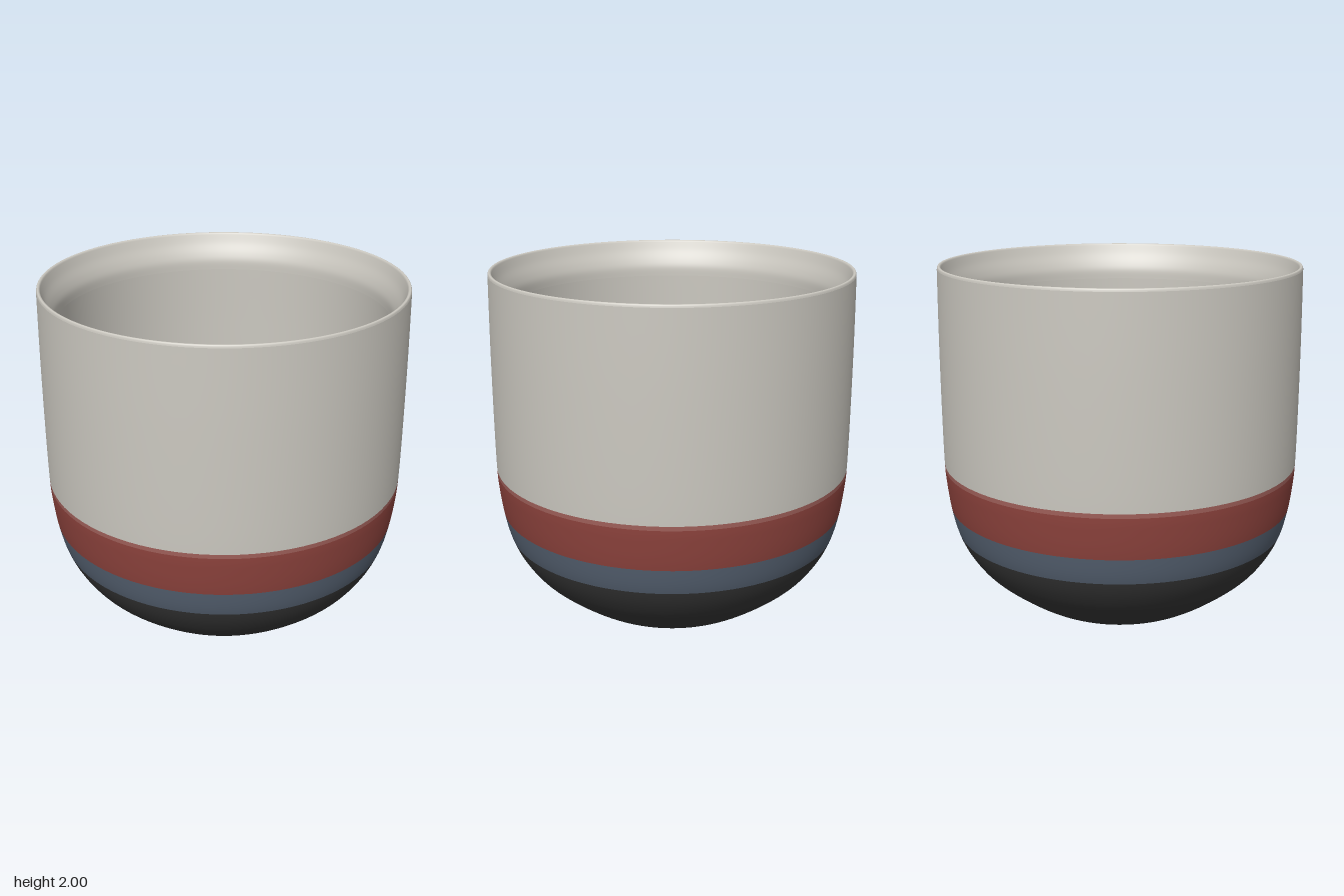
import * as THREE from 'three';

const SEGMENTS = 96;
const material = (name, color) => {
  const m = new THREE.MeshStandardMaterial({ color });
  m.name = name;
  return m;
};
const curvePoints = (pairs, count) =>
  new THREE.SplineCurve(pairs.map(([r, y]) => new THREE.Vector2(r, y))).getPoints(count);

// Part of a rising profile between two heights, with exact ends
function slice(points, low, high) {
  const at = (y) => {
    const i = Math.max(1, points.findIndex((p) => p.y >= y));
    const a = points[i - 1], b = points[i];
    return a.clone().lerp(b, (y - a.y) / (b.y - a.y));
  };
  const inside = points.filter((p) => p.y > low + 1e-3 && p.y < high - 1e-3);
  const start = low === 0 ? [new THREE.Vector2(0, 0), ...points.filter((p) => p.y > 0 && p.y <= 1e-3)] : [at(low)];
  return [...start, ...inside, at(high)];
}

export function createModel() {
  const cup = new THREE.Group();
  cup.name = 'cup';

  const stone = material('stone glaze', 0xcbc8c0);
  const red = material('brick red', 0x8e433d);
  const paleRed = material('pale brick red', 0xa0605a);
  const blue = material('slate blue', 0x566272);
  const charcoal = material('charcoal', 0x363636);

  const addLathe = (name, points, mat) => {
    const mesh = new THREE.Mesh(new THREE.LatheGeometry(points, SEGMENTS), mat);
    mesh.name = name;
    cup.add(mesh);
  };

  // Outer wall, cut into coloured bands
  const outer = curvePoints([
    [0, 0], [0.18, 0.003], [0.34, 0.02], [0.48, 0.068], [0.62, 0.152], [0.78, 0.28],
    [0.87, 0.39], [0.93, 0.51], [0.965, 0.65], [0.985, 0.8], [0.992, 0.92],
    [0.994, 1.2], [0.992, 1.6], [0.986, 1.985],
  ], 130);
  const bands = [
    ['base', 0, 0.51, charcoal],
    ['blueBand', 0.51, 0.655, blue],
    ['redBand', 0.655, 0.882, red],
    ['redBandEdge', 0.882, 0.906, paleRed],
    ['upperWall', 0.906, 1.985, stone],
  ];
  for (const [name, low, high, mat] of bands) addLathe(name, slice(outer, low, high), mat);

  // Narrow rounded rim
  addLathe('rim', curvePoints([[0.986, 1.985], [0.983, 1.996], [0.977, 2], [0.968, 1.996], [0.963, 1.985]], 12), stone);

  // Flared lip running down into the hollow bowl
  addLathe('innerLip', curvePoints([[0.963, 1.985], [0.945, 1.94], [0.918, 1.885], [0.903, 1.84], [0.9, 1.79]], 20), stone);
  addLathe('innerBowl', curvePoints([
    [0.9, 1.79], [0.902, 1.4], [0.9, 0.95], [0.88, 0.72], [0.83, 0.53],
    [0.73, 0.37], [0.58, 0.23], [0.4, 0.14], [0.2, 0.105], [0, 0.1],
  ], 70), stone);

  return cup;
}
